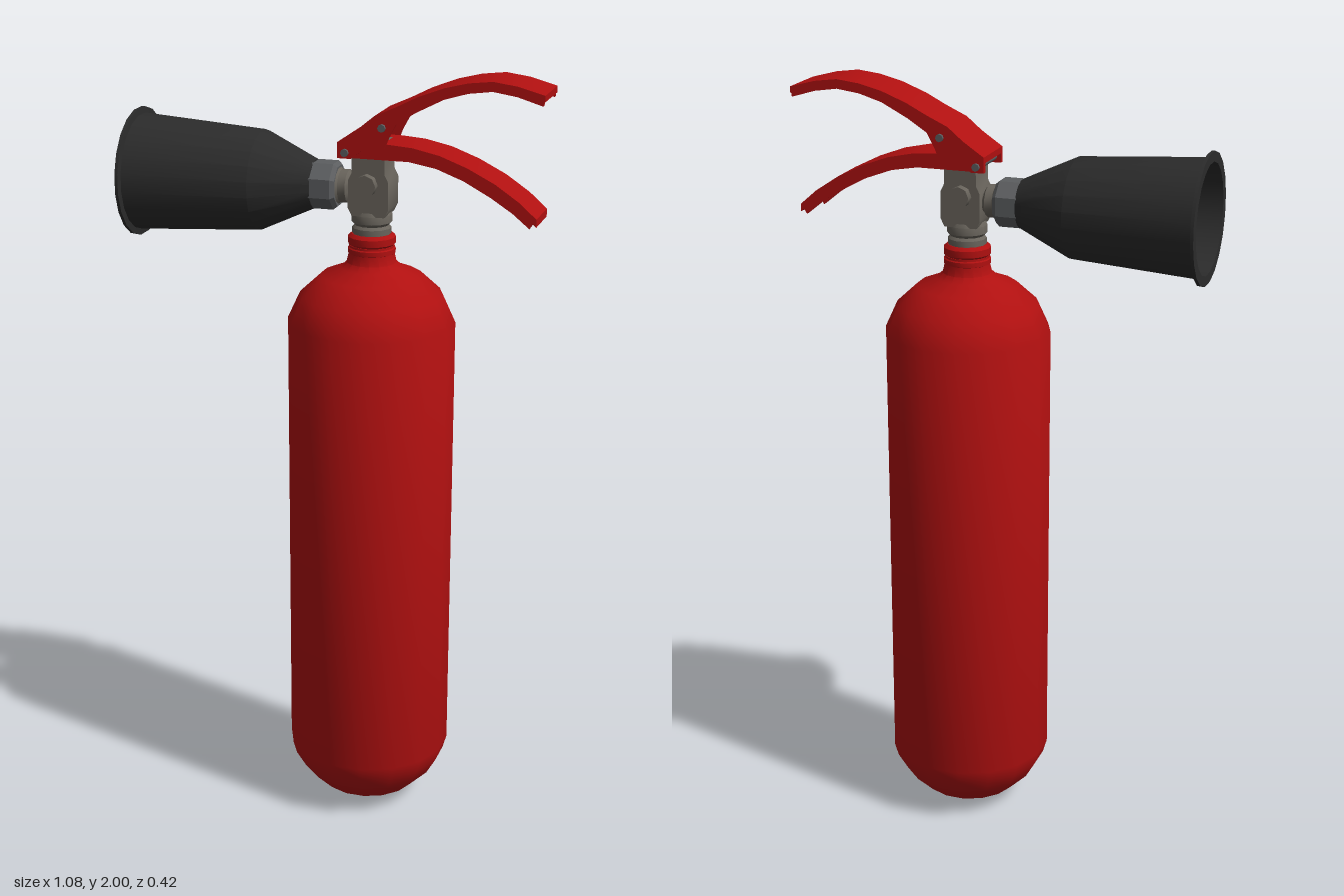
import * as THREE from 'three';
import { toCreasedNormals } from 'three/addons/utils/BufferGeometryUtils.js';

const AXIS = 0.09, NOZZLE_Y = 1.705;
const mat = (color, side = THREE.FrontSide) => new THREE.MeshStandardMaterial({ color, side });
const v2 = (pts) => pts.map(([x, y]) => new THREE.Vector2(x, y));

export function createModel() {
  const model = new THREE.Group();
  const red = mat(0xb01010), brass = mat(0x69645c), steel = mat(0x5c5e60);
  const black = mat(0x2b2b2b, THREE.DoubleSide);

  const add = (name, geometry, material, x = 0, y = 0, z = 0, parent = model) => {
    const mesh = new THREE.Mesh(geometry, material);
    mesh.name = name;
    mesh.position.set(x, y, z);
    parent.add(mesh);
    return mesh;
  };
  const lathe = (pts, sides, crease = 0.6) =>
    toCreasedNormals(new THREE.LatheGeometry(v2(pts), sides, Math.PI / sides), crease);
  // Side profile in x/y, extruded over z0..z1
  const slab = (pts, z0, z1) => toCreasedNormals(
    new THREE.ExtrudeGeometry(new THREE.Shape(v2(pts)), { depth: z1 - z0, bevelEnabled: false })
      .translate(0, 0, z0), 0.5);

  // Tank with domed ends, neck and collar
  add('tank', lathe([
    [0, 0], [0.075, 0.01], [0.13, 0.035], [0.18, 0.085], [0.206, 0.13], [0.216, 0.165],
    [0.216, 1.36], [0.184, 1.43], [0.13, 1.48], [0.08, 1.5], [0.064, 1.515], [0.058, 1.54], [0.058, 1.56], [0, 1.56],
  ], 16), red, AXIS);
  add('neckCollar', lathe([
    [0.05, 1.535], [0.061, 1.54], [0.061, 1.552], [0.054, 1.558], [0.061, 1.565],
    [0.061, 1.582], [0.052, 1.59], [0, 1.59],
  ], 16), red, AXIS);

  // Valve: threaded base, body and pressure plugs
  add('valveThread', lathe([
    [0.05, 1.58], [0.05, 1.605], [0.044, 1.612], [0.052, 1.62], [0.052, 1.64], [0.04, 1.66], [0, 1.66],
  ], 12), brass, AXIS);
  add('valveBody', slab([
    [0.05, 1.64], [0.135, 1.64], [0.145, 1.66], [0.145, 1.73], [0.135, 1.75], [0.135, 1.83],
    [0.05, 1.83], [0.05, 1.75], [0.04, 1.73], [0.04, 1.66],
  ], -0.045, 0.045), brass);
  for (const s of [1, -1]) {
    const plug = add('valvePlug', new THREE.CylinderGeometry(0.028, 0.028, 0.03, 8), brass, AXIS, 1.722, s * 0.052);
    plug.rotation.x = Math.PI / 2;
  }

  // Discharge pipe, hexagonal nut and horn share one axis; local +y points to -x
  const nozzle = new THREE.Group();
  nozzle.name = 'nozzle';
  nozzle.position.set(0.05, NOZZLE_Y, 0);
  nozzle.rotation.z = Math.PI / 2;
  model.add(nozzle);
  add('dischargePipe', lathe([
    [0, -0.02], [0.03, -0.02], [0.03, 0.012], [0.042, 0.02], [0.042, 0.04], [0.052, 0.05], [0, 0.05],
  ], 12), brass, 0, 0, 0, nozzle);
  add('hornNut', lathe([
    [0, 0.045], [0.054, 0.045], [0.063, 0.055], [0.063, 0.112], [0, 0.112],
  ], 8, 0.3), steel, 0, 0, 0, nozzle);
  add('horn', lathe([
    [0, 0.108], [0.062, 0.108], [0.128, 0.25], [0.15, 0.58], [0.166, 0.582], [0.166, 0.59],
    [0.14, 0.59], [0.118, 0.25], [0.05, 0.125], [0, 0.125],
  ], 20, 0.4), black, 0, 0, 0, nozzle);

  // Pressed-metal channel: curved cover over two side walls
  const channel = (name, top, bottom, half, cover) => {
    const group = new THREE.Group();
    group.name = name;
    model.add(group);
    const lowered = top.map(([x, y]) => [x, y - cover]).reverse();
    add(name + 'Cover', slab([...top, ...lowered], -half, half), red, 0, 0, 0, group);
    const wall = [...top, ...bottom];
    add(name + 'FrontWall', slab(wall, half - 0.012, half), red, 0, 0, 0, group);
    add(name + 'BackWall', slab(wall, -half, -half + 0.012), red, 0, 0, 0, group);
  };
  channel('squeezeLever',
    [[0.02, 1.83], [0.075, 1.867], [0.115, 1.9], [0.17, 1.925], [0.225, 1.953], [0.29, 1.978], [0.35, 1.993],
      [0.41, 2], [0.47, 1.992], [0.538, 1.974]],
    [[0.534, 1.948], [0.47, 1.967], [0.41, 1.976], [0.35, 1.968], [0.29, 1.95], [0.22, 1.914],
      [0.17, 1.882], [0.15, 1.845], [0.14, 1.82], [0.08, 1.81], [0.055, 1.79], [0.02, 1.79]],
    0.07, 0.016);
  channel('carryHandle',
    [[0.045, 1.83], [0.14, 1.83], [0.21, 1.825], [0.28, 1.81], [0.35, 1.784], [0.42, 1.749], [0.48, 1.709], [0.525, 1.67]],
    [[0.508, 1.645], [0.465, 1.68], [0.41, 1.715], [0.34, 1.752], [0.27, 1.778], [0.2, 1.79], [0.045, 1.79]],
    0.06, 0.02);

  // Hinge pins through the lever
  for (const [x, y] of [[0.04, 1.805], [0.135, 1.872]]) {
    const pin = add('hingePin', new THREE.CylinderGeometry(0.01, 0.01, 0.156, 8), steel, x, y, 0);
    pin.rotation.x = Math.PI / 2;
  }
  return model;
}
